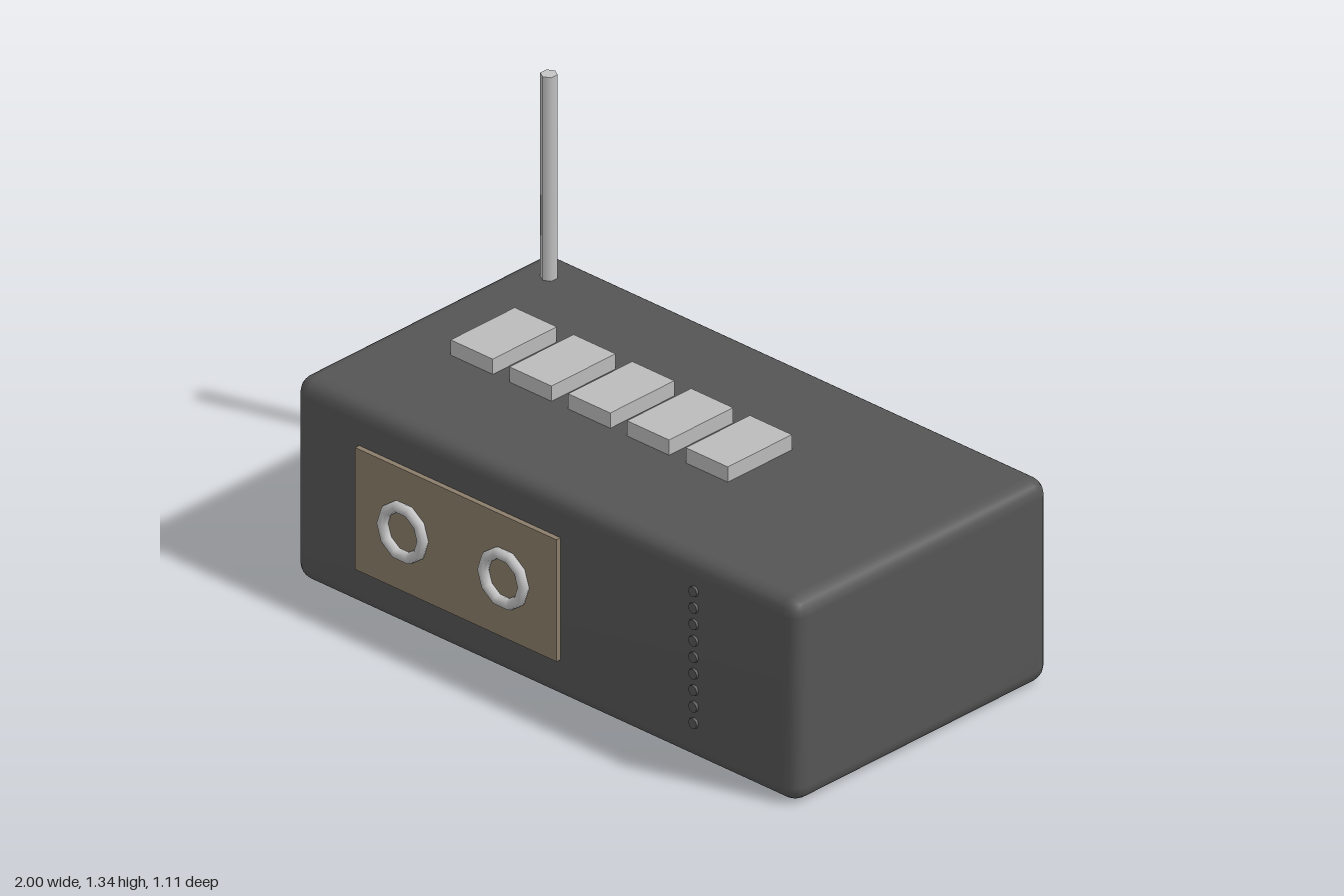
import * as THREE from 'three';
import { RoundedBoxGeometry } from 'three/addons/geometries/RoundedBoxGeometry.js';
import { mergeVertices } from 'three/addons/utils/BufferGeometryUtils.js';

const material = (name, color) => {
  const m = new THREE.MeshStandardMaterial({ color });
  m.name = name;
  return m;
};

export function createModel() {
  const model = new THREE.Group();
  model.name = 'radioCassettePlayer';
  const charcoal = material('charcoal', 0x555555);
  const lightGrey = material('lightGrey', 0xbbbbbb);
  const silver = material('silver', 0xc4c4c4);
  const taupe = material('taupe', 0x8b7d6b);

  const add = (name, geometry, mat, x, y, z) => {
    const mesh = new THREE.Mesh(geometry, mat);
    mesh.name = name;
    mesh.position.set(x, y, z);
    model.add(mesh);
    return mesh;
  };

  // Rounded case, with normals blended across its edges
  let caseGeometry = new RoundedBoxGeometry(2, 0.667, 1.066, 2, 0.055);
  caseGeometry.deleteAttribute('normal');
  caseGeometry.deleteAttribute('uv');
  caseGeometry = mergeVertices(caseGeometry, 1e-4);
  caseGeometry.computeVertexNormals();
  add('case', caseGeometry, charcoal, 0, 0.3335, -0.02);

  // Row of keys on the top
  const keyGeometry = new THREE.BoxGeometry(0.167, 0.1, 0.267);
  for (let i = 0; i < 5; i++) {
    add('key' + (i + 1), keyGeometry, lightGrey, -0.67 + i * 0.2335, 0.667, -0.0215);
  }

  // Antenna at the back corner
  add('antenna', new THREE.CylinderGeometry(0.026, 0.026, 0.7, 6), silver, -0.87, 0.985, -0.42);

  // Cassette door with two reel rings
  add('cassetteDoor', new THREE.BoxGeometry(0.8, 0.4, 0.034), taupe, -0.335, 0.337, 0.513);
  const reelGeometry = new THREE.TorusGeometry(0.08, 0.0175, 8, 10);
  for (const x of [-0.537, -0.137]) add('reelRing', reelGeometry, silver, x, 0.337, 0.539);

  // Column of small speaker studs
  const studGeometry = new THREE.CylinderGeometry(0.017, 0.017, 0.02, 8);
  studGeometry.rotateX(Math.PI / 2);
  for (let i = 0; i < 9; i++) {
    add('speakerStud' + (i + 1), studGeometry, charcoal, 0.597, 0.132 + i * 0.054, 0.512);
  }

  return model;
}
